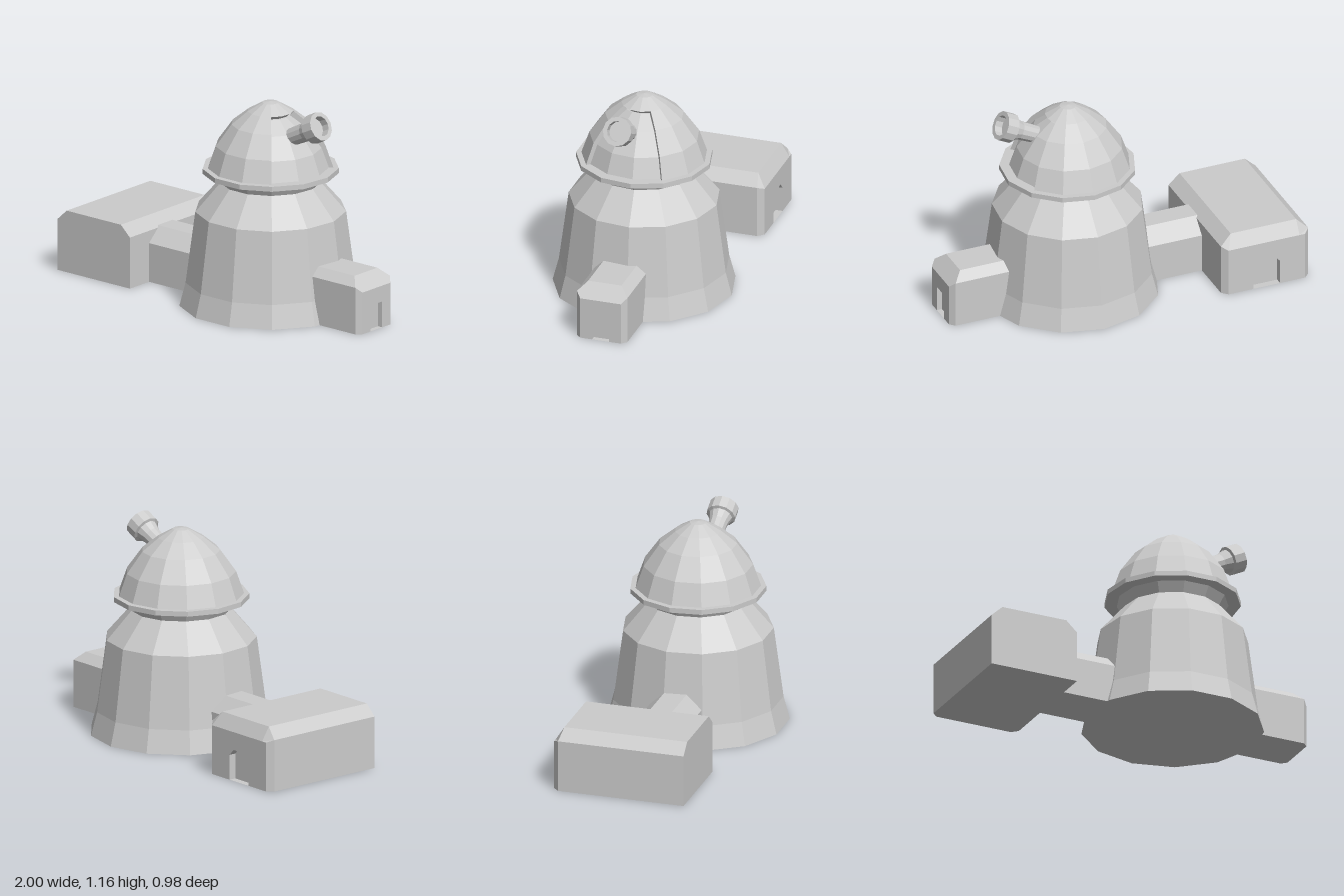
import * as THREE from 'three';

const grey = new THREE.MeshStandardMaterial({ color: 0xcccccc, flatShading: true });
const greyThin = new THREE.MeshStandardMaterial({ color: 0xcccccc, flatShading: true, side: THREE.DoubleSide });
const SIDES = 13, STEP = (Math.PI * 2) / SIDES;
const CENTRE = new THREE.Vector3(0.247, 0, 0.006);

const points = (list) => list.map(([x, y]) => new THREE.Vector2(x, y));

function add(parent, name, geometry, material = grey) {
  const mesh = new THREE.Mesh(geometry, material);
  mesh.name = name;
  parent.add(mesh);
  return mesh;
}

// Faceted turned part; facets counted from the back vertex
function turned(profile, from = 0, count = SIDES) {
  return new THREE.LatheGeometry(points(profile), count, Math.PI + from * STEP, count * STEP);
}

// Skin between rings of [x, y, z] points, counterclockwise seen from +z
function loft(rings, closed = true) {
  const pos = [];
  for (let r = 0; r + 1 < rings.length; r++) {
    const n = rings[r].length;
    for (let i = 0; i < (closed ? n : n - 1); i++) {
      const j = (i + 1) % n;
      const a = rings[r][i], b = rings[r][j], c = rings[r + 1][j], d = rings[r + 1][i];
      pos.push(...a, ...b, ...c, ...a, ...c, ...d);
    }
  }
  const g = new THREE.BufferGeometry();
  g.setAttribute('position', new THREE.Float32BufferAttribute(pos, 3));
  g.computeVertexNormals();
  return g;
}

// Chamfered building with a bevelled end (local +z) and a recessed doorway
function building(name, { half, eave, topHalf, top, back, end, bevel, run, drop, door, depth }) {
  const group = new THREE.Group();
  group.name = name;
  const mirror = (half3) => [...half3, ...half3.map(([x, y, z]) => [-x, y, z]).reverse()];
  const w = half - bevel, h = top - drop;
  add(group, name + 'Shell', loft([
    mirror([[half, 0, back], [half, eave, back], [topHalf, top, back]]),
    mirror([[half, 0, end - bevel], [half, eave, end - bevel], [topHalf, top, end - run]]),
    mirror([[w, 0, end], [w, h, end], [topHalf, h, end]]),
  ]));

  // plain rear wall
  const section = points([[half, 0], [half, eave], [topHalf, top], [-topHalf, top], [-half, eave], [-half, 0]]);
  const rear = add(group, name + 'RearWall', new THREE.ShapeGeometry(new THREE.Shape(section)));
  rear.rotation.y = Math.PI;
  rear.position.z = back;

  // end wall notched by the door outline (door runs left foot to right foot)
  const wall = new THREE.Shape(points([[w, 0], [w, h], [-w, h], [-w, 0], ...door]));
  add(group, name + 'EndWall', new THREE.ShapeGeometry(wall)).position.z = end;

  // doorway recess and door leaf
  const at = (z) => door.map(([x, y]) => [x, y, z]);
  add(group, name + 'DoorReveal', loft([at(end - depth), at(end)]), greyThin);
  add(group, name + 'Door', new THREE.ShapeGeometry(new THREE.Shape(points(door)))).position.z = end - depth;
  return group;
}

function createDome() {
  const dome = new THREE.Group();
  dome.name = 'dome';
  const outer = [[0.343, 0.775], [0.3, 0.898], [0.214, 1.018], [0.125, 1.09]];
  const inner = [[0.318, 0.775], [0.278, 0.885], [0.194, 1.0], [0.105, 1.066]];

  // shutter opening takes three facets on the +x side
  const first = -2, open = 3;
  add(dome, 'domeShell', turned(outer, first, SIDES - open), greyThin);
  add(dome, 'domeCap', turned([[0.1, 1.07], [0.125, 1.09], [0.045, 1.137], [0, 1.143]]), greyThin);
  add(dome, 'recessedShutter', turned([...inner, [0, 1.085]]));
  const edge = new THREE.ShapeGeometry(new THREE.Shape(points([...outer, ...inner.slice().reverse()])));
  for (const k of [first, first - open]) {
    add(dome, 'shutterJamb', edge, greyThin).rotation.y = Math.PI / 2 + k * STEP;
  }
  return dome;
}

// Tube with flared hood and hollow mouth, pointing up and out to +x
function createTelescope() {
  const profile = [
    [0, -0.34], [0.045, -0.34], [0.052, -0.12], [0.065, -0.075], [0.081, -0.07],
    [0.081, 0], [0.057, 0], [0.057, -0.045], [0, -0.045],
  ];
  const telescope = new THREE.Mesh(new THREE.LatheGeometry(points(profile), 12), grey);
  telescope.name = 'telescope';
  telescope.position.set(0.63, 1.085, 0.034);
  telescope.rotation.z = -1.107;
  return telescope;
}

export function createModel() {
  const model = new THREE.Group();
  model.name = 'observatory';

  // round tower with shoulder, neck and rim
  const tower = new THREE.Group();
  tower.name = 'tower';
  tower.position.copy(CENTRE);
  add(tower, 'towerBody', turned([
    [0, 0], [0.499, 0], [0.465, 0.13], [0.412, 0.53], [0.274, 0.69], [0.305, 0.745],
  ]));
  add(tower, 'rim', turned([[0.29, 0.745], [0.372, 0.745], [0.372, 0.773], [0, 0.773]]));
  tower.add(createDome());
  model.add(tower, createTelescope());

  // small entrance on the +x side
  const entrance = building('entrance', {
    half: 0.144, eave: 0.265, topHalf: 0.095, top: 0.312, back: 0.5, end: 1,
    bevel: 0.028, run: 0.075, drop: 0.075, depth: 0.03,
    door: [[-0.048, 0], [-0.048, 0.147], [0.048, 0.147], [0.048, 0]],
  });
  entrance.rotation.y = Math.PI / 2;
  entrance.position.z = 0.004;
  model.add(entrance);

  // long hall on the -x side, door facing the back
  const hall = building('hall', {
    half: 0.2575, eave: 0.29, topHalf: 0.193, top: 0.35, back: -0.322, end: 0.424,
    bevel: 0.032, run: 0.048, drop: 0.075, depth: 0.04,
    door: [[-0.078, 0], [-0.078, 0.14], [-0.045, 0.175], [0.045, 0.175], [0.078, 0.14], [0.078, 0]],
  });
  hall.rotation.y = Math.PI;
  hall.position.x = -0.7425;
  model.add(hall);

  // corridor joining hall and tower
  const section = new THREE.Shape(points([
    [0.147, 0], [0.147, 0.22], [0.062, 0.3], [-0.062, 0.3], [-0.147, 0.22], [-0.147, 0],
  ]));
  const corridor = add(model, 'corridor', new THREE.ExtrudeGeometry(section, { depth: 0.45, bevelEnabled: false }));
  corridor.rotation.y = Math.PI / 2;
  corridor.position.set(-0.5, 0, 0.015);

  return model;
}
